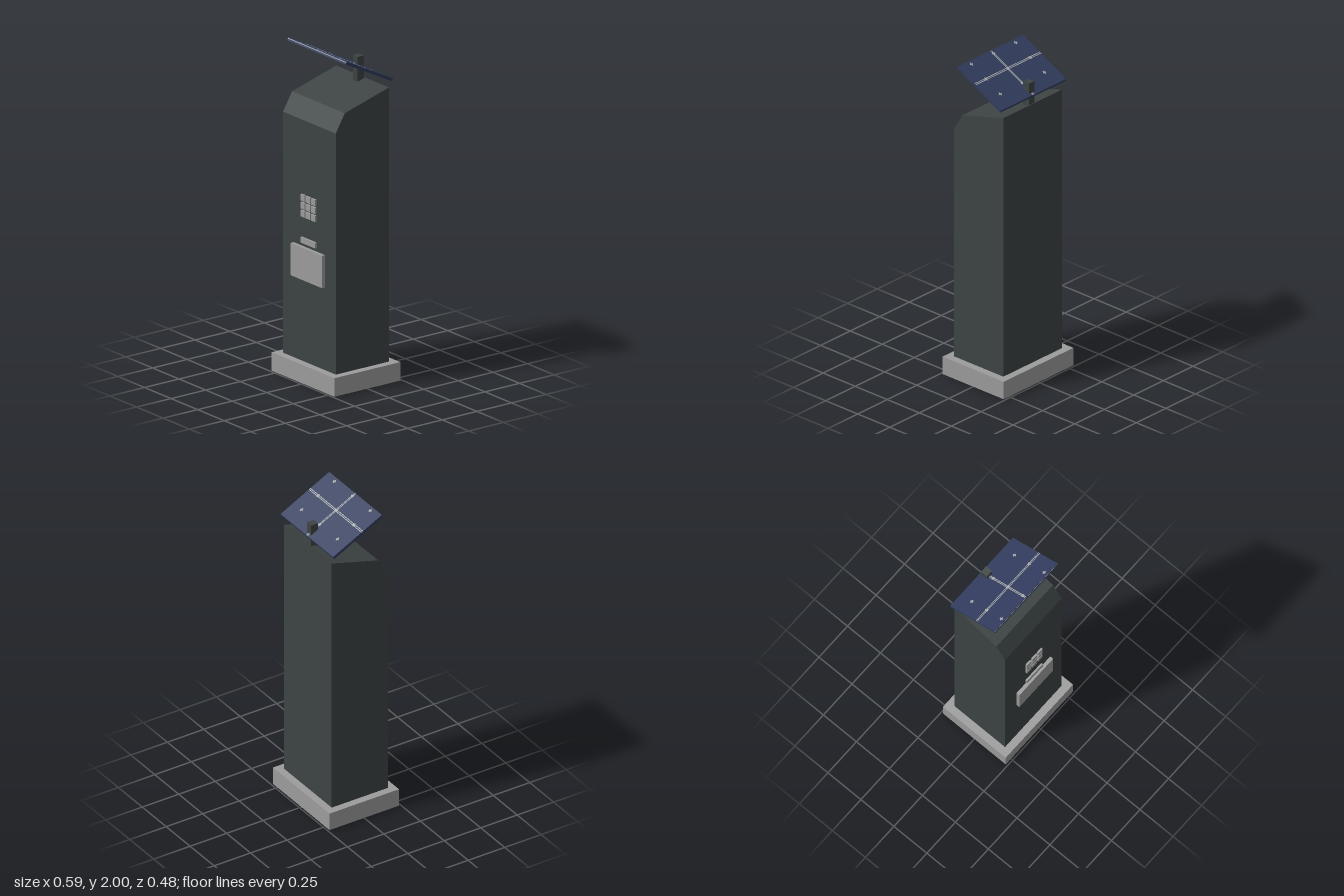
import * as THREE from 'three';

const material = (name, color) => {
  const m = new THREE.MeshStandardMaterial({ color });
  m.name = name;
  return m;
};

export function createModel() {
  const casing = material('dark casing', 0x3d4443);
  const grey = material('light grey', 0x9c9c9c);
  const blue = material('panel blue', 0x323c5e);
  const silver = material('silver', 0xa9adab);

  const model = new THREE.Group();
  model.name = 'solarTerminal';

  const box = (parent, name, mat, size, pos) => {
    const mesh = new THREE.Mesh(new THREE.BoxGeometry(...size), mat);
    mesh.name = name;
    mesh.position.set(...pos);
    parent.add(mesh);
    return mesh;
  };

  // Plinth
  box(model, 'base', grey, [0.59, 0.112, 0.476], [0, 0.056, 0]);

  // Cabinet: side profile extruded across x
  const profile = new THREE.Shape([
    [-0.192, 0.11], [0.192, 0.11], [0.192, 1.57], [0.127, 1.68], [-0.192, 1.77],
  ].map(([z, y]) => new THREE.Vector2(-z, y)));
  const width = 0.496;
  const bodyGeometry = new THREE.ExtrudeGeometry(profile, { depth: width, bevelEnabled: false });
  bodyGeometry.translate(0, 0, -width / 2).rotateY(Math.PI / 2);
  const body = new THREE.Mesh(bodyGeometry, casing);
  body.name = 'cabinet';
  model.add(body);

  // Front fittings
  const keypad = new THREE.Group();
  keypad.name = 'keypad';
  model.add(keypad);
  for (let row = -1; row <= 1; row++) {
    for (let col = -1; col <= 1; col++) {
      box(keypad, 'key', grey, [0.039, 0.038, 0.016], [col * 0.049, 1.055 + row * 0.048, 0.196]);
    }
  }
  box(model, 'slot', grey, [0.138, 0.034, 0.016], [0, 0.846, 0.196]);
  box(model, 'trayDoor', grey, [0.296, 0.196, 0.026], [0, 0.71, 0.201]);

  // Post
  box(model, 'post', casing, [0.045, 0.165, 0.045], [0, 1.8225, -0.162]);

  // Tilted solar panel
  const panel = new THREE.Group();
  panel.name = 'solarPanel';
  panel.position.set(0, 1.908, -0.029);
  panel.rotation.x = -0.47;
  model.add(panel);
  const length = 0.375, thick = 0.018, top = thick / 2, mid = 0.037;
  box(panel, 'panelSlab', blue, [0.55, thick, length], [0, 0, 0]);
  box(panel, 'frontEdgeTrim', silver, [0.55, 0.004, 0.001], [0, 0.003, length / 2]);

  // Cell divider lines and cross marks on the upper face
  for (const s of [-1, 1]) {
    box(panel, 'lengthLine', silver, [0.005, 0.001, length], [s * 0.0042, top, 0]);
    box(panel, 'crossLine', silver, [0.55, 0.001, 0.005], [0, top, mid + s * 0.0047]);
  }
  for (let i = -1; i <= 1; i++) {
    for (let j = -1; j <= 1; j++) {
      const x = i * 0.187, z = mid + j * 0.126;
      box(panel, 'crossMark', silver, [0.022, 0.002, 0.008], [x, top, z]);
      box(panel, 'crossMark', silver, [0.008, 0.002, 0.024], [x, top, z]);
    }
  }

  return model;
}
